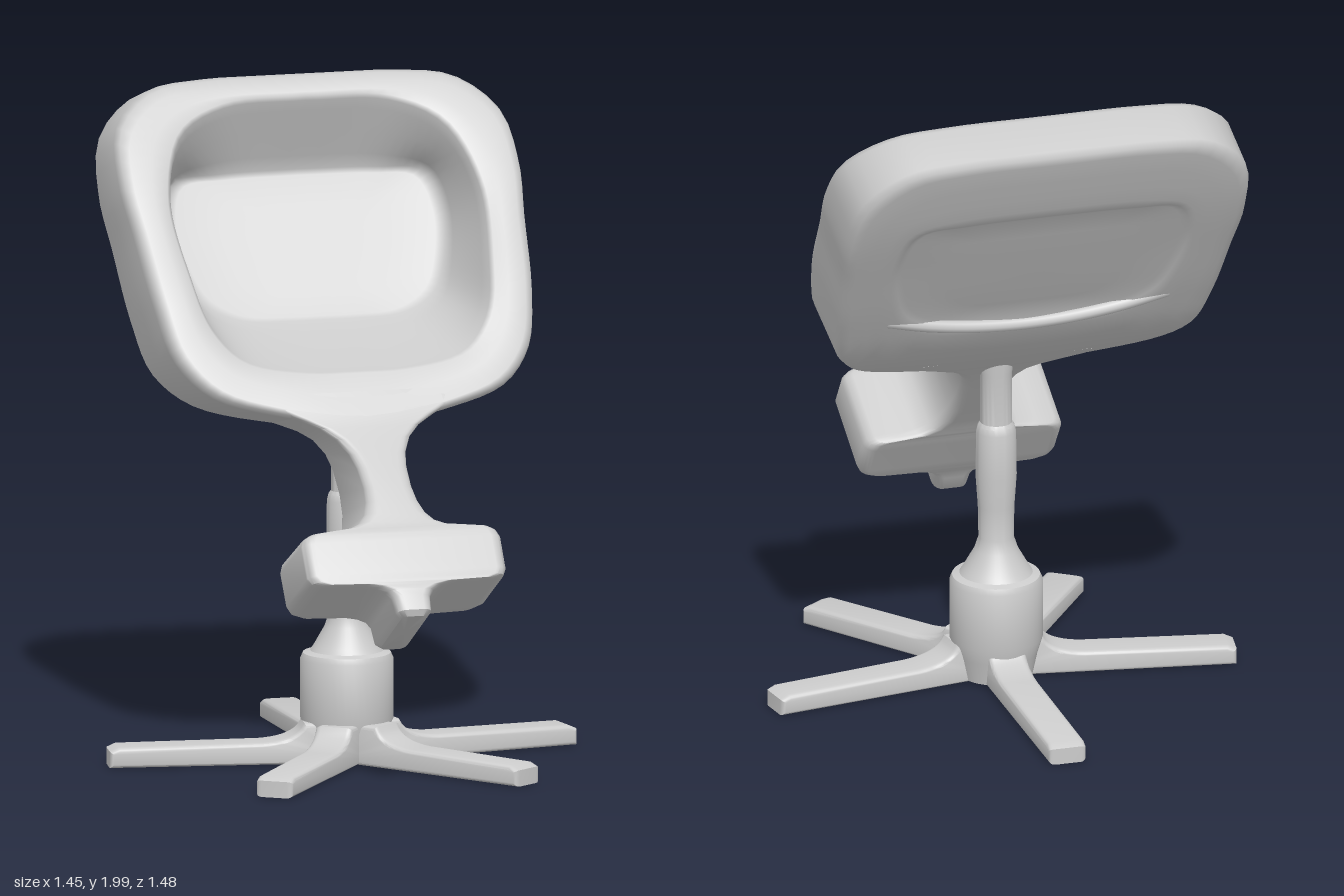
import * as THREE from 'three';
import { toCreasedNormals } from 'three/addons/utils/BufferGeometryUtils.js';

const grey = new THREE.MeshStandardMaterial({ color: 0xcccccc });
grey.name = 'pale grey';

// Side profile of the tilted slab: paired stations [z, y] on its front and back
const profile = (pts) => new THREE.CatmullRomCurve3(pts.map(([z, y]) => new THREE.Vector3(0, y, z)));
const frontLine = profile([[-0.49, 2.005], [-0.3, 1.79], [-0.15, 1.6], [0, 1.41], [0.1, 1.25], [0.2, 1.11],
  [0.33, 1.01], [0.45, 0.92], [0.58, 0.8], [0.68, 0.66], [0.75, 0.57]]);
const backLine = profile([[-0.7, 1.945], [-0.57, 1.69], [-0.45, 1.49], [-0.33, 1.3], [-0.22, 1.15], [-0.08, 1.04],
  [0.02, 0.96], [0.13, 0.85], [0.3, 0.66], [0.41, 0.51], [0.47, 0.41]]);

// x across, t = station down the slab (0..10), d = depth from front (0) to back (1)
function place(x, t, d) {
  const k = Math.min(Math.max(t / 10, 0), 1);
  const p = frontLine.getPoint(k).lerp(backLine.getPoint(k), d);
  p.x = x;
  return p;
}

// Skin a list of equal closed rings of Vector3, closing both ends with a fan
function loft(rings) {
  const n = rings[0].length;
  const pos = [], idx = [];
  rings.forEach((r) => r.forEach((p) => pos.push(p.x, p.y, p.z)));
  for (let i = 0; i < rings.length - 1; i++) {
    for (let j = 0; j < n; j++) {
      const k = (j + 1) % n;
      const a = i * n + j, b = a + n, c = (i + 1) * n + k, e = i * n + k;
      idx.push(a, b, c, a, c, e);
    }
  }
  [0, rings.length - 1].forEach((i) => {
    const mid = new THREE.Vector3();
    rings[i].forEach((p) => mid.addScaledVector(p, 1 / n));
    const m = pos.length / 3;
    pos.push(mid.x, mid.y, mid.z);
    for (let j = 0; j < n; j++) {
      const a = i * n + j, b = i * n + (j + 1) % n;
      if (i === 0) idx.push(m, a, b); else idx.push(m, b, a);
    }
  });
  const g = new THREE.BufferGeometry();
  g.setAttribute('position', new THREE.Float32BufferAttribute(pos, 3));
  g.setIndex(idx);
  g.computeVertexNormals();
  return g;
}

// Mirrored outline in (x, t) from its right half
function outline(half) {
  const curve = new THREE.CatmullRomCurve3(half.map(([x, t]) => new THREE.Vector3(x, t * 0.24, 0)));
  const pts = curve.getSpacedPoints(44).map((p) => [Math.max(p.x, 0), p.y / 0.24]);
  pts[44][0] = 0;
  const left = pts.slice(1, -1).reverse().map(([x, t]) => [-x, t]);
  return [...pts, ...left];
}
const scaled = (o, s, ct) => o.map(([x, t]) => [x * s, ct + (t - ct) * s]);
const mix = (a, b, f) => a.map(([x, t], i) => [x + (b[i][0] - x) * f, t + (b[i][1] - t) * f]);

function headGeometry() {
  const outer = outline([[0, 0], [0.3, 0.01], [0.48, 0.12], [0.6, 0.55], [0.625, 1.2], [0.61, 2], [0.59, 3],
    [0.55, 4], [0.45, 4.7], [0.28, 5.1], [0.12, 5.35], [0, 5.4]]);
  const hole = outline([[0, 0.33], [0.26, 0.38], [0.41, 0.7], [0.48, 1.5], [0.465, 2.6], [0.42, 3.5],
    [0.33, 4.05], [0.15, 4.28], [0, 4.3]]);
  const floor = outline([[0, 1], [0.25, 1.02], [0.39, 1.1], [0.43, 1.6], [0.41, 2.3], [0.36, 2.8],
    [0.25, 3.1], [0.1, 3.15], [0, 3.15]]);
  const edge = scaled(outer, 0.945, 2.5);
  const soft = scaled(outer, 0.983, 2.5);
  const panel = scaled(floor, 1.05, 2.1);
  const rings = [
    // back with a shallow sunken panel
    [scaled(panel, 0.3, 2.1), 0.955], [scaled(panel, 0.65, 2.1), 0.955], [scaled(panel, 0.95, 2.1), 0.955],
    [panel, 0.99], [mix(panel, edge, 0.15), 1], [mix(panel, edge, 0.4), 1], [mix(panel, edge, 0.7), 1], [edge, 0.995],
    // rounded outer wall
    [soft, 0.97], [outer, 0.88], [outer, 0.5], [outer, 0.14], [soft, 0.035], [edge, 0],
    // front rim and bowl
    [mix(edge, hole, 0.5), 0], [scaled(hole, 1.025, 2.3), 0.01], [hole, 0.06], [mix(hole, floor, 0.15), 0.2],
    [mix(hole, floor, 0.45), 0.45], [mix(hole, floor, 0.8), 0.72], [floor, 0.85],
    [scaled(floor, 0.93, 2.1), 0.87], [scaled(floor, 0.6, 2.1), 0.88], [scaled(floor, 0.3, 2.1), 0.88],
  ];
  return loft(rings.map(([o, d]) => o.map(([x, t]) => place(x, t, d))));
}

// Neck, side wings and toe tab: rounded rectangles of changing half width
function neckGeometry() {
  const rows = [[4.7, 0.3], [5, 0.275], [5.25, 0.21], [5.5, 0.155], [5.8, 0.115], [6.2, 0.088], [6.6, 0.077],
    [7.1, 0.074], [7.4, 0.08], [7.65, 0.095], [7.82, 0.12], [7.92, 0.16], [7.96, 0.22], [8, 0.28], [8.07, 0.3],
    [8.2, 0.31], [8.8, 0.31], [8.93, 0.3], [9, 0.27], [9.03, 0.15], [9.1, 0.105], [9.22, 0.075], [9.4, 0.06],
    [9.85, 0.055], [10, 0.04]];
  return loft(rows.map(([t, w], i) => {
    const rx = Math.min(0.035, w * 0.5), rd = 0.11;
    const inset = i === rows.length - 1 ? 0.05 : 0;
    const ring = [];
    for (let q = 0; q < 4; q++) {
      for (let s = 0; s <= 5; s++) {
        const a = (q + s / 5) * Math.PI / 2;
        const sx = q === 0 || q === 3 ? 1 : -1, sd = q < 2 ? 1 : -1;
        ring.push(place(sx * (w - rx) + rx * Math.cos(a),
          t, 0.5 + sd * (0.5 - rd - inset) + rd * Math.sin(a)));
      }
    }
    return ring;
  }));
}

function legGeometry(length) {
  const s = new THREE.Shape();
  s.moveTo(0, 0.015);
  s.lineTo(length - 0.012, 0.015);
  s.lineTo(length - 0.012, 0.045);
  s.lineTo(length - 0.03, 0.053);
  s.lineTo(0.27, 0.058);
  s.quadraticCurveTo(0.16, 0.064, 0.135, 0.115);
  s.lineTo(0, 0.115);
  const g = new THREE.ExtrudeGeometry(s, { depth: 0.08, bevelEnabled: true, bevelThickness: 0.018,
    bevelSize: 0.012, bevelSegments: 4, curveSegments: 10 });
  g.translate(0, 0, -0.04);
  return toCreasedNormals(g, 0.7);
}

export function createModel() {
  const model = new THREE.Group();
  const add = (name, geometry) => {
    const m = new THREE.Mesh(geometry, grey);
    m.name = name;
    model.add(m);
    return m;
  };

  add('seatShell', headGeometry());
  add('neckAndFootrest', toCreasedNormals(neckGeometry(), 0.8));

  // Raised lip below the back panel
  const lip = new THREE.CatmullRomCurve3([-0.44, -0.3, -0.15, 0, 0.15, 0.3, 0.44].map(
    (x) => place(x, 3.3 - 1.8 * x * x, 1.005 - 0.3 * x * x)));
  add('backLip', new THREE.TubeGeometry(lip, 32, 0.02, 8));

  // Column and hub
  const column = [[0, 0.01], [0.11, 0.01], [0.125, 0.08], [0.14, 0.13], [0.14, 0.31], [0.132, 0.328], [0.11, 0.335],
    [0.1, 0.35], [0.066, 0.41], [0.053, 0.45], [0.055, 0.55], [0.062, 0.65], [0.06, 0.79], [0.055, 0.81],
    [0.048, 0.82], [0.048, 0.98], [0.055, 1.02], [0.055, 1.1], [0, 1.1]];
  add('columnAndHub', toCreasedNormals(
    new THREE.LatheGeometry(column.map(([r, y]) => new THREE.Vector2(r, y)), 40), 0.6));

  // Five-legged star base
  const centre = 0.03;
  [[0, -0.745], [0.72, -0.085], [-0.72, -0.085], [0.396, 0.58], [-0.396, 0.58]].forEach(([x, z]) => {
    const leg = add('baseLeg', legGeometry(Math.hypot(x, z - centre)));
    leg.position.z = centre;
    leg.rotation.y = Math.atan2(-(z - centre), x);
  });
  return model;
}
